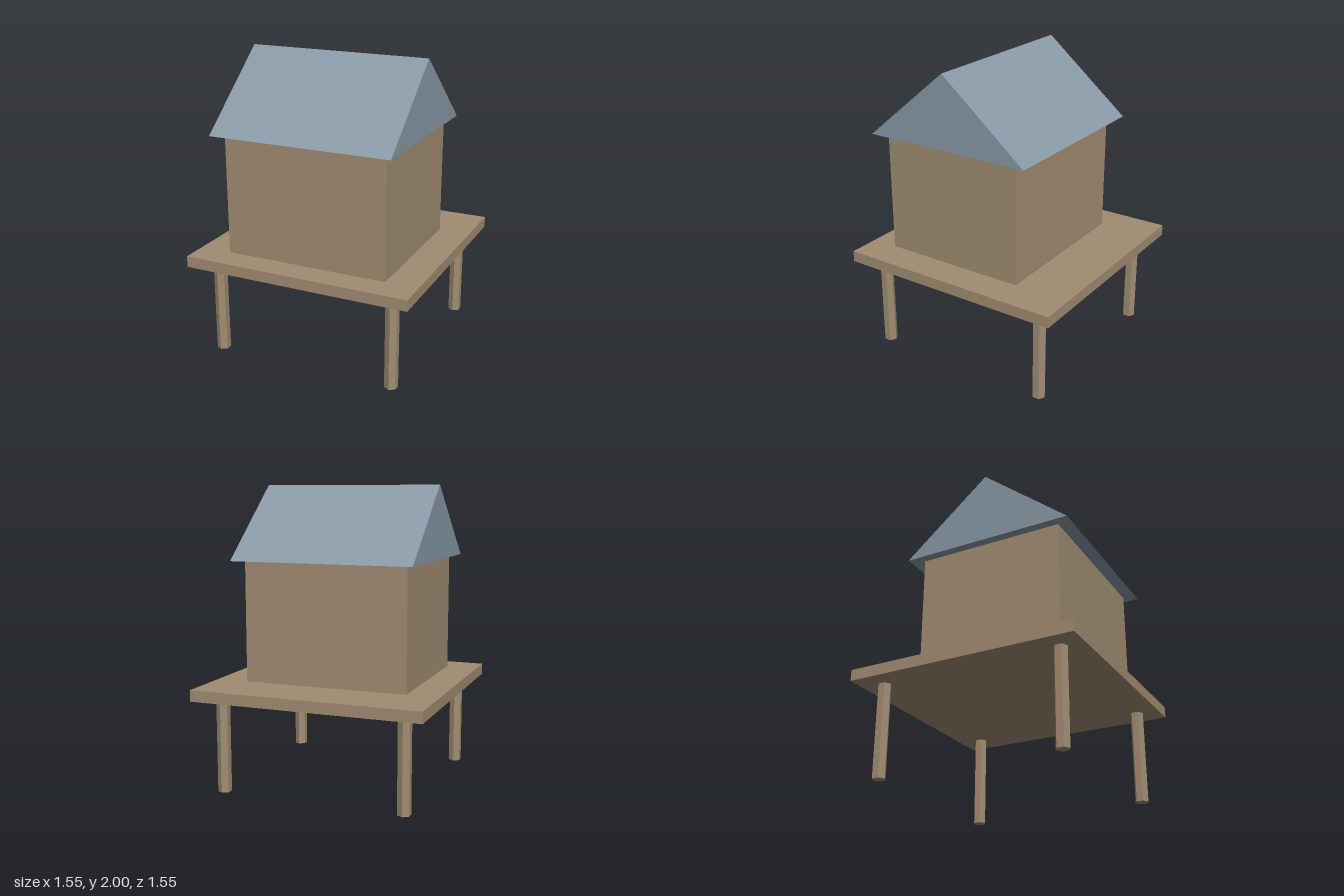
import * as THREE from 'three';

export function createModel() {
  const group = new THREE.Group();
  const wood = new THREE.MeshStandardMaterial({ color: 0xa08c72, flatShading: true });
  wood.name = 'wood';
  const slate = new THREE.MeshStandardMaterial({ color: 0x8899a6, flatShading: true });
  slate.name = 'slate';

  const add = (name, geometry, material, x, y, z) => {
    const mesh = new THREE.Mesh(geometry, material);
    mesh.name = name;
    mesh.position.set(x, y, z);
    group.add(mesh);
  };

  // Hexagonal stilts at the four corners
  const legGeometry = new THREE.CylinderGeometry(0.045, 0.045, 0.625, 6);
  for (const x of [-0.62, 0.62]) {
    for (const z of [-0.62, 0.62]) {
      const name = (z > 0 ? 'front' : 'back') + (x > 0 ? 'Left' : 'Right') + 'Leg';
      add(name, legGeometry, wood, x, 0.3125, z);
    }
  }

  // Deck, with the hut set slightly towards the front
  const hutZ = 0.094;
  add('platform', new THREE.BoxGeometry(1.55, 0.075, 1.55), wood, 0, 0.6625, 0);
  add('walls', new THREE.BoxGeometry(1.115, 0.81, 0.994), wood, 0, 1.105, hutZ + 0.003);

  // Solid gable roof, ridge running along x
  const gable = new THREE.Shape([
    new THREE.Vector2(-0.588, 0),
    new THREE.Vector2(0.588, 0),
    new THREE.Vector2(0, 0.49),
  ]);
  const roof = new THREE.ExtrudeGeometry(gable, { depth: 1.236, bevelEnabled: false });
  roof.translate(0, 0, -0.618).rotateY(Math.PI / 2);
  add('roof', roof, slate, 0, 1.51, hutZ);

  return group;
}
